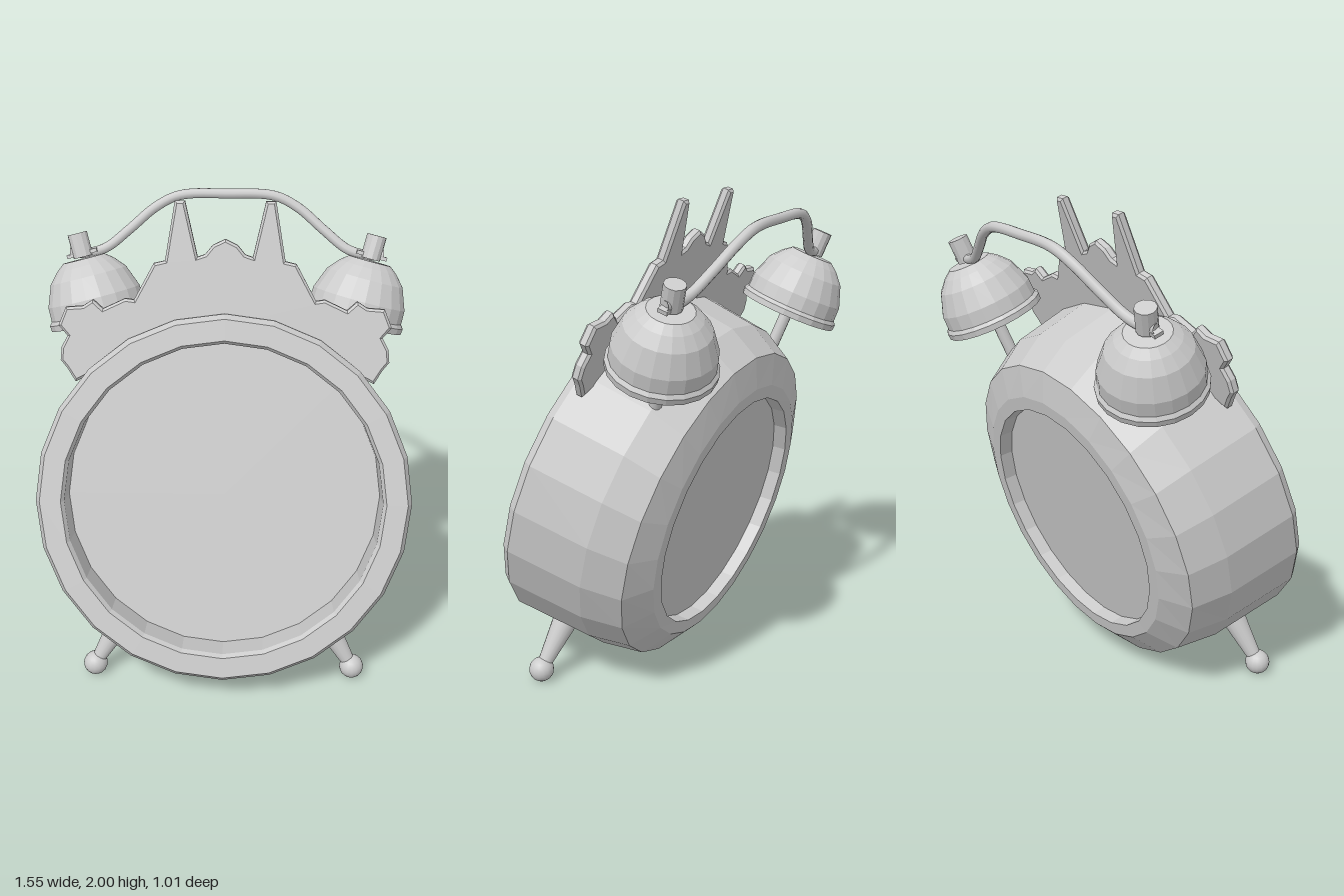
import * as THREE from 'three';

const V = (x, y, z) => new THREE.Vector3(x, y, z);

export function createModel() {
  const model = new THREE.Group();
  const flat = new THREE.MeshStandardMaterial({ color: 0xcccccc, flatShading: true });
  const flatOpen = new THREE.MeshStandardMaterial({ color: 0xcccccc, flatShading: true, side: THREE.DoubleSide });
  const smooth = new THREE.MeshStandardMaterial({ color: 0xcccccc });

  const add = (parent, name, geometry, material) => {
    const mesh = new THREE.Mesh(geometry, material);
    mesh.name = name;
    parent.add(mesh);
    return mesh;
  };

  // Skin over tilted circles, each given by its top and bottom point [z, y, z, y]
  const loft = (rings, sides) => {
    const pos = [], index = [];
    rings.forEach(([tz, ty, bz, by], i) => {
      const r = Math.hypot(tz - bz, ty - by) / 2;
      for (let j = 0; j < sides; j++) {
        const a = (j / sides) * Math.PI * 2, c = Math.cos(a) / 2;
        pos.push(r * Math.sin(a), (ty + by) / 2 + (ty - by) * c, (tz + bz) / 2 + (tz - bz) * c);
        if (i === rings.length - 1) continue;
        const p = i * sides + j, q = i * sides + (j + 1) % sides;
        const next = rings[i + 1];
        if (next[1] !== next[3]) index.push(p + sides, q + sides, q);
        if (r > 0) index.push(p, p + sides, q);
      }
    });
    const g = new THREE.BufferGeometry();
    g.setAttribute('position', new THREE.Float32BufferAttribute(pos, 3));
    g.setIndex(index);
    g.computeVertexNormals();
    return g;
  };

  // Case: recessed back panel, chamfer, wall, front rim and recessed dial
  add(model, 'clockCase', loft([
    [-0.2275, 0.6975, -0.2275, 0.6975],
    [-0.34, 1.19, -0.115, 0.205],
    [-0.398, 1.185, -0.172, 0.195],
    [-0.41, 1.24, -0.16, 0.14],
    [-0.405, 1.37, -0.05, 0.04],
    [-0.295, 1.475, 0.13, 0.045],
    [-0.01, 1.588, 0.475, 0.118],
    [0.03, 1.582, 0.502, 0.15],
    [0.057, 1.5, 0.477, 0.234],
    [0.043, 1.482, 0.455, 0.24],
    [-0.1, 1.434, 0.311, 0.191],
    [0.1055, 0.8125, 0.1055, 0.8125],
  ], 24), flat);

  // Spiky crest plate: right half of the outline, then mirrored
  const half = [
    [0.05, 1.835], [0.08, 1.8], [0.11, 1.79], [0.16, 2], [0.2, 2], [0.24, 1.775], [0.285, 1.765],
    [0.365, 1.625], [0.4, 1.63], [0.49, 1.59], [0.53, 1.625], [0.57, 1.6], [0.64, 1.595],
    [0.67, 1.525], [0.635, 1.485], [0.66, 1.44], [0.665, 1.39], [0.64, 1.36], [0.605, 1.305],
    [0.45, 1.38], [0.25, 1.48],
  ];
  const tilt = 0.288;
  const outline = [[0, 1.858], ...half, [0, 1.52], ...half.map(([x, y]) => [-x, y]).reverse()]
    .map(([x, y]) => new THREE.Vector2(x, (y - 1.3) / Math.cos(tilt)));
  const crestGeo = new THREE.ExtrudeGeometry(new THREE.Shape(outline), {
    depth: 0.024, bevelThickness: 0.01, bevelSize: 0.01, bevelOffset: -0.01, bevelSegments: 1,
  });
  crestGeo.translate(0, 0, -0.012);
  const crest = add(model, 'crest', crestGeo, flat);
  crest.position.set(0, 1.3, 0.035);
  crest.rotation.x = -tilt;

  // Bell cup profile with a thin lip, open underneath
  const cup = [
    [0, 0.24], [0.09, 0.235], [0.15, 0.18], [0.18, 0.1], [0.185, 0.012], [0.19, 0], [0.212, 0],
    [0.214, 0.025], [0.202, 0.04], [0.2, 0.1], [0.165, 0.19], [0.125, 0.235], [0.09, 0.262], [0, 0.264],
  ].map(([r, y]) => new THREE.Vector2(r, y));

  for (const s of [1, -1]) {
    const side = s > 0 ? 'left' : 'right';

    // Bell with stem and knob, leaning outward and back
    const bell = new THREE.Group();
    bell.name = side + 'Bell';
    bell.position.set(s * 0.535, 1.44, -0.285);
    bell.quaternion.setFromUnitVectors(V(0, 1, 0), V(s * 0.25, 0.92, -0.3).normalize());
    add(bell, 'bellCup', new THREE.LatheGeometry(cup, 20), flatOpen);
    add(bell, 'bellStem', new THREE.CylinderGeometry(0.026, 0.026, 0.46, 12), smooth).position.y = 0.02;
    add(bell, 'bellKnob', new THREE.CylinderGeometry(0.042, 0.042, 0.1, 12), flat).position.y = 0.32;
    add(bell, 'handleTab', new THREE.BoxGeometry(0.13, 0.016, 0.04), flat).position.y = 0.285;
    model.add(bell);

    // Splayed foot: tapered leg ending in a ball
    const top = V(s * 0.43, 0.27, 0.235), foot = V(s * 0.56, 0.052, 0.29);
    const leg = new THREE.Group();
    leg.name = side + 'Foot';
    const shaft = add(leg, 'footShaft', new THREE.CylinderGeometry(0.057, 0.026, top.distanceTo(foot), 16), smooth);
    shaft.position.copy(top).add(foot).multiplyScalar(0.5);
    shaft.quaternion.setFromUnitVectors(V(0, 1, 0), top.clone().sub(foot).normalize());
    add(leg, 'footBall', new THREE.SphereGeometry(0.052, 16, 12), smooth).position.copy(foot);
    model.add(leg);
  }

  // Carrying handle arching between the bell knobs
  const arc = [
    [0.66, 1.705, -0.37], [0.6, 1.7, -0.378], [0.51, 1.72, -0.39], [0.41, 1.79, -0.425],
    [0.3, 1.875, -0.465], [0.2, 1.92, -0.484],
  ];
  const path = [...arc, [0, 1.928, -0.486], ...arc.map(([x, y, z]) => [-x, y, z]).reverse()];
  add(model, 'handle', new THREE.TubeGeometry(
    new THREE.CatmullRomCurve3(path.map((p) => V(...p))), 60, 0.021, 10), smooth);

  return model;
}
